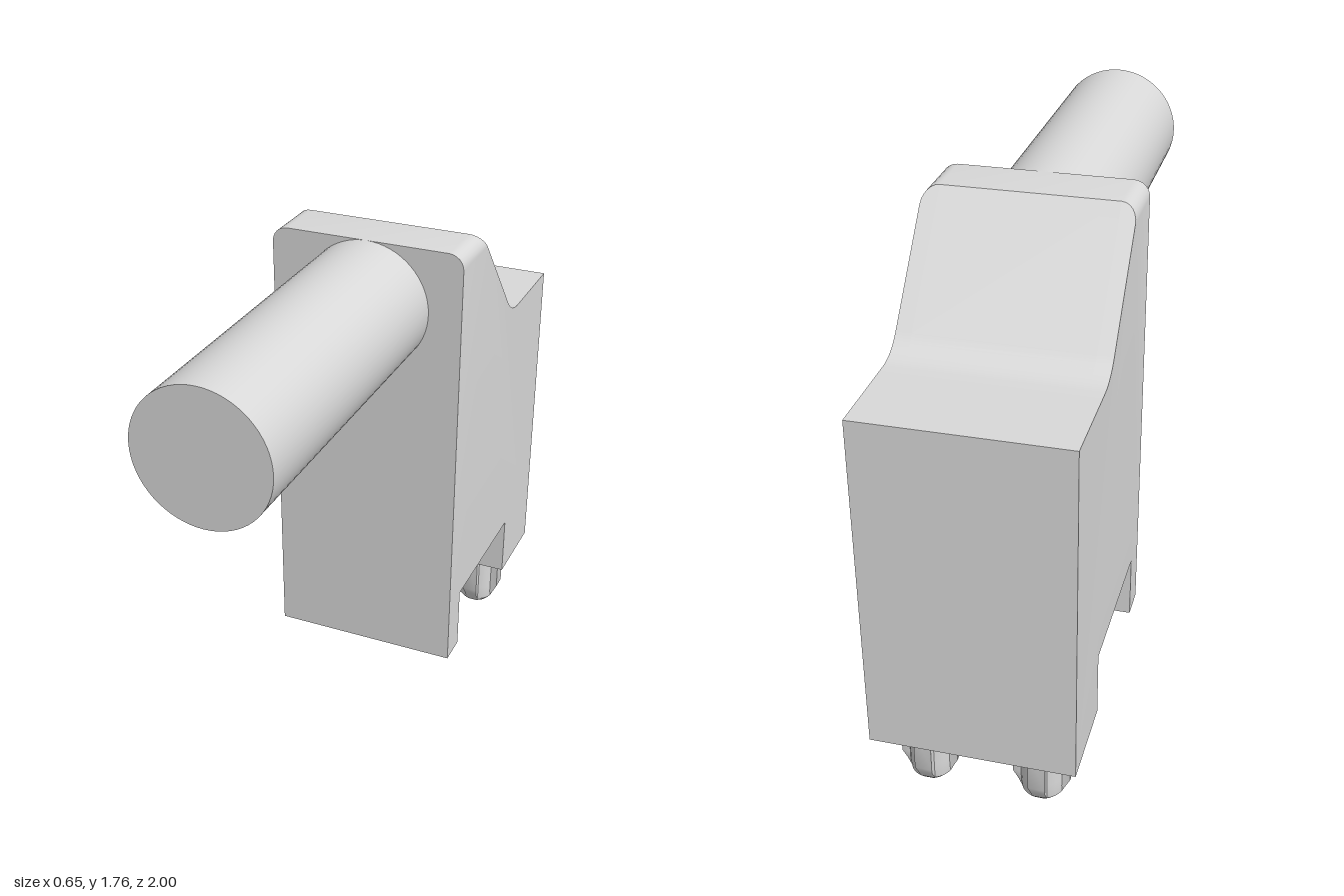
import * as THREE from 'three';
import { toCreasedNormals } from 'three/addons/utils/BufferGeometryUtils.js';

const TOP = 1.763, HALF = 0.324, ROUND = 0.05;

// Extrudes a shape through numbered layers, then places every vertex by a rule
function layered(shape, steps, place) {
  const geo = new THREE.ExtrudeGeometry(shape, { depth: steps, steps, bevelEnabled: false, curveSegments: 10 });
  const p = geo.attributes.position;
  for (let i = 0; i < p.count; i++) {
    p.setXYZ(i, ...place(p.getX(i), p.getY(i), Math.round(p.getZ(i))));
  }
  return geo;
}

// Side profile (z, y) swept across the width, with the two upper edges rounded
function bodyGeometry() {
  const s = new THREE.Shape();
  s.moveTo(-0.09, 0.232);
  s.lineTo(-0.09, TOP);
  s.lineTo(-0.27, TOP);
  s.lineTo(-0.57, 1.42);
  s.quadraticCurveTo(-0.618, 1.365, -0.69, 1.365);
  s.lineTo(-1, 1.365);
  s.lineTo(-1, 0.232);
  s.lineTo(-0.705, 0.232);
  s.lineTo(-0.705, 0.452);
  s.lineTo(-0.195, 0.452);
  s.lineTo(-0.195, 0.232);
  s.closePath();
  const n = 6, steps = 2 * n + 1;
  const geo = layered(s, steps, (z, y, layer) => {
    const a = (Math.min(layer, steps - layer) / n) * Math.PI / 2;
    const side = HALF - ROUND * (1 - Math.cos(a));
    const top = TOP - ROUND * (1 - Math.sin(a));
    if (y > top) {
      if (z < -0.2) z -= (y - top) * 0.875; // stay on the sloping face
      y = top;
    }
    return [z, y, layer < steps / 2 ? -side : side];
  });
  geo.rotateY(-Math.PI / 2);
  return toCreasedNormals(geo, 0.6);
}

// Ribbed locating peg with a tapered tip
function pegGeometry() {
  const pts = [], core = 0.071, rib = 0.092, w = 0.0275;
  const edge = Math.asin(w / core);
  for (let k = 0; k < 4; k++) {
    const turn = k * Math.PI / 2;
    const add = (x, y) => pts.push(new THREE.Vector2(x, y).rotateAround(new THREE.Vector2(), turn));
    add(rib, -w);
    add(rib, w);
    for (let i = 0; i <= 4; i++) {
      const a = edge + (Math.PI / 2 - 2 * edge) * i / 4;
      add(core * Math.cos(a), core * Math.sin(a));
    }
  }
  const heights = [0, 0.018, 0.045, 0.075, 0.235];
  const limits = [0.052, 0.068, 0.081, 0.1, 0.1];
  const geo = layered(new THREE.Shape(pts), 4, (x, y, layer) => {
    const f = Math.min(1, limits[layer] / Math.hypot(x, y));
    return [x * f, y * f, heights[layer]];
  });
  geo.rotateX(-Math.PI / 2);
  return toCreasedNormals(geo, 0.5);
}

export function createModel() {
  const model = new THREE.Group();
  const grey = new THREE.MeshStandardMaterial({ color: 0xd9d9d9 });
  grey.name = 'light grey';
  const add = (name, geo, x = 0, y = 0, z = 0) => {
    const mesh = new THREE.Mesh(geo, grey);
    mesh.name = name;
    mesh.position.set(x, y, z);
    model.add(mesh);
  };

  add('body', bodyGeometry());

  // Round shaft reaching forward from the top of the body
  const shaft = new THREE.CylinderGeometry(0.213, 0.213, 1.09, 64);
  shaft.rotateX(Math.PI / 2);
  add('shaft', shaft, 0, 1.55, 0.455);

  // Pair of pegs under the rear foot
  const peg = pegGeometry();
  add('leftPeg', peg, 0.183, 0, -0.835);
  add('rightPeg', peg, -0.183, 0, -0.835);
  return model;
}
